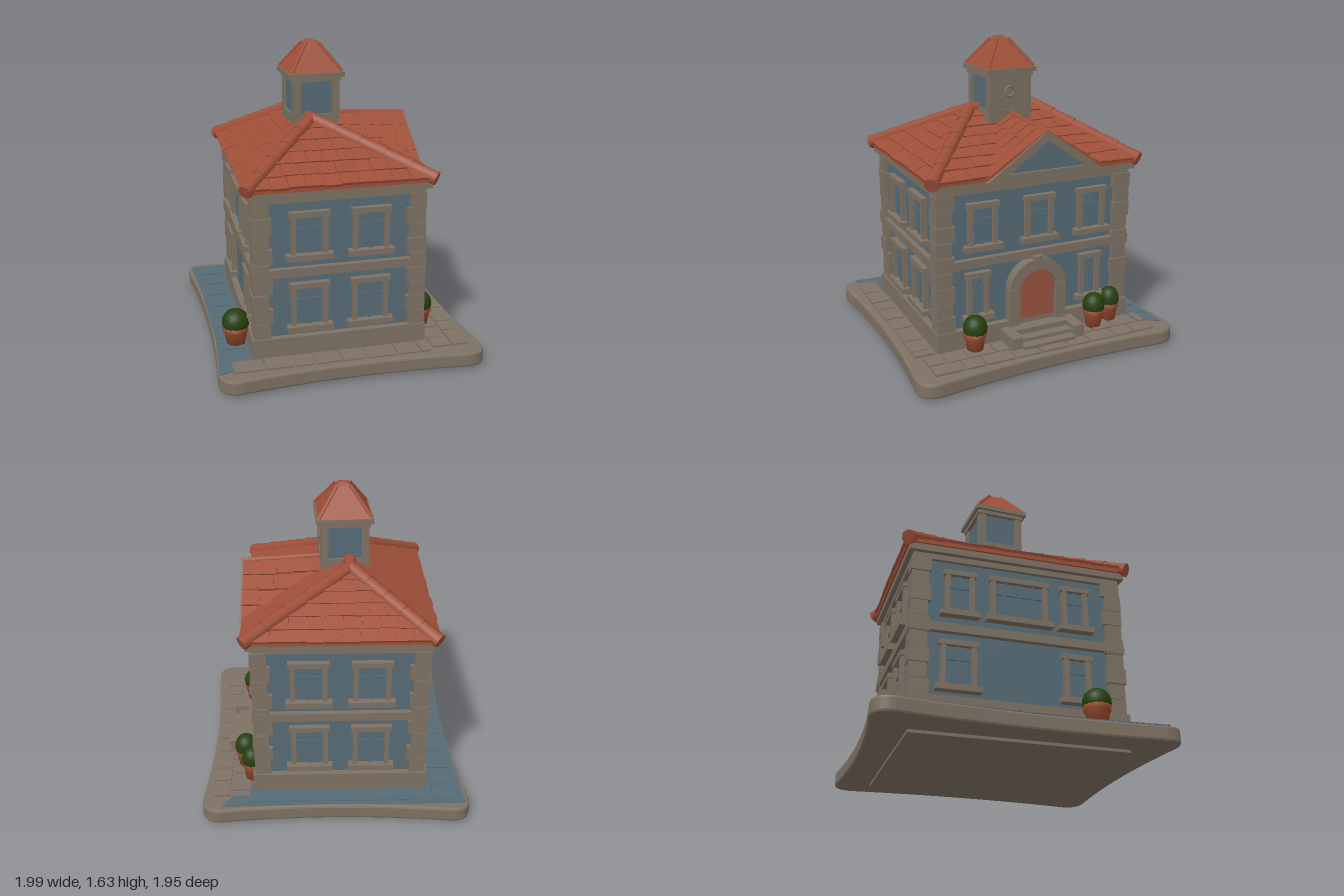
import * as THREE from 'three';
import { mergeGeometries } from 'three/addons/utils/BufferGeometryUtils.js';

const material = (name, color) => Object.assign(new THREE.MeshStandardMaterial({ color }), { name });
const V = (x, y, z) => new THREE.Vector3(x, y, z);

export function createModel() {
  const stone = material('stone', 0x7d7163), blue = material('blue plaster', 0x566b76);
  const tile = material('roof tile', 0x9e4f38), doorRed = material('door red', 0x9a5340);
  const leaf = material('leaf green', 0x263f0e), clay = material('clay', 0x96492f);
  let seed = 7;
  const rnd = () => (seed = (seed * 16807) % 2147483647) / 2147483647;

  const model = new THREE.Group();
  const house = new THREE.Group();
  house.name = 'house';
  house.position.set(-0.03, 0, 0);
  house.rotation.y = 2.292;
  model.add(house);

  const add = (parent, name, geo, mat, x = 0, y = 0, z = 0) => {
    const m = new THREE.Mesh(geo, mat);
    m.name = name;
    m.position.set(x, y, z);
    parent.add(m);
    return m;
  };
  // Box given by its size and the height of its underside
  const box = (parent, name, mat, w, h, d, x, y0, z) =>
    add(parent, name, new THREE.BoxGeometry(w, h, d), mat, x, y0 + h / 2, z);
  const flatExtrude = (shape, depth, bevel = 0) => new THREE.ExtrudeGeometry(shape, {
    depth, bevelEnabled: bevel > 0, bevelSize: bevel, bevelThickness: bevel, bevelOffset: -bevel, bevelSegments: 2, curveSegments: 10,
  }).rotateX(-Math.PI / 2);

  // Ground slab: rounded corners, sides bowed inwards
  const corners = [[-0.76, 0.65], [-0.755, -0.745], [0.725, -0.725], [0.745, 0.68]].map(p => new THREE.Vector2(...p));
  const slab = new THREE.Shape();
  corners.forEach((c, i) => {
    const prev = corners[(i + 3) % 4], next = corners[(i + 1) % 4];
    const toward = (p, q) => q.clone().sub(p).setLength(0.1).add(p);
    const s = toward(c, prev), e = toward(c, next), f = toward(next, c);
    if (i === 0) slab.moveTo(s.x, s.y);
    slab.quadraticCurveTo(c.x, c.y, e.x, e.y);
    const mid = e.clone().add(f).multiplyScalar(0.5);
    mid.addScaledVector(mid.clone().normalize(), -0.07);
    slab.quadraticCurveTo(mid.x, mid.y, f.x, f.y);
  });
  add(house, 'groundSlab', flatExtrude(slab, 0.056, 0.012), stone, 0, 0.027, 0);
  box(house, 'slabFoot', stone, 1.1, 0.03, 1.0, 0, 0, 0.03);

  // Painted paving on two sides
  const bluePave = new THREE.Shape([[-0.68, 0.645], [-0.3, 0.62], [0.3, 0.63], [0.69, 0.655], [0.69, 0.3], [0.68, 0],
    [0.69, -0.62], [0.5, -0.5], [0.5, 0.4], [-0.6, 0.4]].map(p => new THREE.Vector2(...p)));
  add(house, 'bluePaving', flatExtrude(bluePave, 0.005), blue, 0, 0.094, 0);

  // Paving stones in rows round the house
  const pave = (mat, alongX, from, to, inner, outer) => {
    for (let p = from; p < to - 0.04;) {
      const w = Math.min(0.1 + rnd() * 0.07, to - p), d = outer - inner, m = (inner + outer) / 2;
      const h = 0.008 + rnd() * 0.004;
      if (alongX) box(house, 'pavingStone', mat, w - 0.012, h, d - 0.012, p + w / 2, 0.094, m);
      else box(house, 'pavingStone', mat, d - 0.012, h, w - 0.012, m, 0.094, p + w / 2);
      p += w;
    }
  };
  pave(stone, true, -0.66, 0.62, 0.47, 0.58);
  pave(stone, true, -0.66, 0.64, 0.58, 0.68);
  pave(stone, false, -0.58, 0.46, -0.69, -0.57);
  pave(blue, true, -0.58, 0.68, -0.61, -0.48);
  pave(blue, false, -0.46, 0.52, 0.57, 0.67);

  // Walls, plinth, bands and cornice
  box(house, 'plinth', stone, 1.13, 0.105, 0.92, 0, 0.094, 0);
  box(house, 'walls', blue, 1.06, 0.8, 0.85, 0, 0.17, 0);
  box(house, 'middleBand', stone, 1.12, 0.045, 0.91, 0, 0.53, 0);
  box(house, 'corniceLower', stone, 1.1, 0.04, 0.89, 0, 0.92, 0);
  box(house, 'corniceUpper', stone, 1.15, 0.05, 0.94, 0, 0.95, 0);

  // Corner stones
  for (const sx of [-1, 1]) for (const sz of [-1, 1])
    for (let i = 0; i < 9; i++) {
      const w = i % 2 ? 0.085 : 0.1, o = rnd() * 0.008;
      box(house, 'cornerStone', stone, w, 0.079, 0.185 - w, sx * (0.552 + o - w / 2), 0.199 + i * 0.081, sz * (0.447 + o - (0.185 - w) / 2));
    }

  // Windows: each wall has its own frame of reference, z pointing outwards
  const wall = (name, turn, dist) => {
    const g = new THREE.Group(), pivot = new THREE.Group();
    pivot.name = name;
    pivot.rotation.y = turn;
    g.position.z = dist;
    pivot.add(g);
    house.add(pivot);
    return g;
  };
  const windowAt = (g, x, y, w, h, bars = 1) => {
    const win = new THREE.Group();
    win.name = 'window';
    win.position.set(x, y, 0);
    g.add(win);
    for (const s of [-1, 1]) box(win, 'windowJamb', stone, 0.025, h, 0.036, s * (w / 2 - 0.0125), 0, 0.01);
    box(win, 'windowHead', stone, w + 0.02, 0.028, 0.044, 0, h - 0.028, 0.01);
    box(win, 'windowSill', stone, w + 0.05, 0.03, 0.06, 0, -0.012, 0.015);
    box(win, 'windowPane', blue, w - 0.04, h - 0.04, 0.008, 0, 0.015, 0.002);
    for (let i = 1; i <= bars; i++) box(win, 'windowBar', blue, 0.014, h - 0.04, 0.022, (i / (bars + 1) - 0.5) * w, 0.015, 0.005);
    box(win, 'windowCrossbar', blue, w - 0.04, 0.012, 0.02, 0, h * 0.6, 0.004);
  };
  const doorWall = wall('doorWall', 0, 0.425), plainWall = wall('longWall', Math.PI, 0.425);
  for (const x of [-0.3, 0.02, 0.33]) windowAt(doorWall, x, 0.63, 0.16, 0.24);
  for (const x of [-0.33, 0.33]) windowAt(doorWall, x, 0.25, 0.12, 0.25);
  windowAt(plainWall, -0.31, 0.63, 0.15, 0.24);
  windowAt(plainWall, 0, 0.63, 0.3, 0.24, 3);
  windowAt(plainWall, 0.3, 0.63, 0.14, 0.24);
  windowAt(plainWall, -0.31, 0.24, 0.18, 0.25);
  windowAt(plainWall, 0.3, 0.24, 0.14, 0.25);
  for (const s of [-1, 1]) {
    const g = wall('endWall', s * Math.PI / 2, 0.53);
    for (const x of [-0.16, 0.16]) {
      windowAt(g, x, 0.63, 0.19, 0.24);
      windowAt(g, x, 0.24, 0.19, 0.25);
    }
  }

  // Arched door, its surround and the steps
  const arch = (r, h) => new THREE.Shape().moveTo(-r, 0).lineTo(r, 0).lineTo(r, h).absarc(0, h, r, 0, Math.PI, false).lineTo(-r, 0);
  const surround = arch(0.165, 0.2);
  surround.holes.push(arch(0.105, 0.2));
  const ext = (s, depth) => new THREE.ExtrudeGeometry(s, { depth, bevelEnabled: false, curveSegments: 14 });
  add(doorWall, 'doorSurround', ext(surround, 0.065), stone, 0, 0.165, -0.01);
  add(doorWall, 'door', ext(arch(0.108, 0.2), 0.045), doorRed, 0, 0.165, -0.01);
  box(doorWall, 'keystone', stone, 0.05, 0.07, 0.08, 0, 0.475, 0.02);
  for (const s of [-1, 1]) box(doorWall, 'doorColumn', stone, 0.05, 0.04, 0.08, s * 0.137, 0.34, 0.02);
  [[0.16, 0.1], [0.13, 0.15], [0.11, 0.2]].forEach(([y, d]) =>
    box(doorWall, 'step', stone, 0.3, y - 0.094 + 0.012, d, 0, 0.094, d / 2 - 0.0));
  for (const s of [-1, 1]) box(doorWall, 'stepCheek', stone, 0.06, 0.075, 0.17, s * 0.18, 0.094, 0.095);

  // Roof slope: a flat surface covered by overlapping tiles
  const slope = (name, a, b, c, d, rows) => {
    const face = new THREE.BufferGeometry().setFromPoints([a, b, c, a, c, d]);
    face.computeVertexNormals();
    add(house, name, face, tile);
    const X = b.clone().sub(a).normalize(), Y = d.clone().sub(a);
    Y.addScaledVector(X, -Y.dot(X));
    const h = Y.length() / rows;
    Y.normalize();
    const N = X.clone().cross(Y), parts = [];
    for (let r = 0; r < rows; r++) {
      const t = (r + 0.5) / rows, L = a.clone().lerp(d, t), R = b.clone().lerp(c, t);
      const n = Math.max(1, Math.round(L.distanceTo(R) / 0.085)), w = L.distanceTo(R) / n;
      for (let i = 0; i < n; i++) {
        const p = L.clone().lerp(R, (i + 0.5) / n).addScaledVector(N, 0.003 + rnd() * 0.004);
        const g = new THREE.BoxGeometry(w * 0.97, h * (1.1 + rnd() * 0.15), 0.014).rotateX(-0.07);
        parts.push(g.applyMatrix4(new THREE.Matrix4().makeBasis(X, Y, N).setPosition(p)));
      }
    }
    add(house, name + 'Tiles', mergeGeometries(parts), tile);
  };
  // Row of tapered ridge caps between two points
  const caps = (name, p, q, r, n) => {
    const dir = q.clone().sub(p), len = dir.length() / n;
    const turn = new THREE.Quaternion().setFromUnitVectors(V(0, 1, 0), dir.normalize());
    for (let i = 0; i < n; i++) {
      const at = p.clone().addScaledVector(dir, (i + 0.5) * len);
      add(house, name, new THREE.CylinderGeometry(r * 0.88, r, len * 1.08, 8), tile, at.x, at.y, at.z).quaternion.copy(turn);
    }
  };

  // Main hipped roof
  const ex = 0.585, ez = 0.48, ey = 1.005;
  const [rA, rB] = [V(-0.15, 1.24, -0.06), V(0.22, 1.24, -0.06)];
  const [e0, e1, e2, e3] = [V(-ex, ey, ez), V(ex, ey, ez), V(ex, ey, -ez), V(-ex, ey, -ez)];
  box(house, 'eaves', tile, 2 * ex, 0.025, 2 * ez, 0, 0.985, 0);
  slope('doorSlope', e0, e1, rB, rA, 7);
  slope('endSlope', e1, e2, rB, rB, 6);
  slope('longSlope', e2, e3, rA, rB, 6);
  slope('endSlope', e3, e0, rA, rA, 6);
  for (const [e, r] of [[e0, rA], [e3, rA], [e1, rB], [e2, rB]]) caps('hipCap', e, r, 0.038, 5);
  caps('ridgeCap', rA, rB, 0.036, 4);

  // Gable over the door
  const cx = 0.03, gw = 0.32;
  const top = V(cx, 1.2, 0.5), back = V(cx, 1.235, -0.05);
  slope('gableSlope', V(cx - gw, 1.0, 0.1), V(cx - gw, 1.0, 0.5), top, back, 4);
  slope('gableSlope', V(cx + gw, 1.0, 0.5), V(cx + gw, 1.0, 0.1), back, top, 4);
  caps('gableRidge', top, back, 0.018, 4);
  const tri = (w, y0, y1) => [[-w, y0], [w, y0], [0, y1]].map(p => new THREE.Vector2(...p));
  add(house, 'gablePanel', ext(new THREE.Shape(tri(0.3, 0.99, 1.185)), 0.02), blue, cx, 0, 0.475);
  const rim = new THREE.Shape(tri(gw + 0.01, 0.985, 1.215));
  rim.holes.push(new THREE.Path(tri(0.215, 1.015, 1.165)));
  add(house, 'gableFrame', ext(rim, 0.035), stone, cx, 0, 0.475);

  // Cupola
  const cupola = new THREE.Group();
  cupola.name = 'cupola';
  cupola.position.set(0.012, 0, -0.028);
  cupola.rotation.y = 0.05;
  house.add(cupola);
  box(cupola, 'cupolaBody', blue, 0.225, 0.3, 0.225, 0, 1.14, 0);
  box(cupola, 'cupolaFoot', stone, 0.25, 0.07, 0.25, 0, 1.18, 0);
  box(cupola, 'cupolaDoorPanel', stone, 0.2, 0.22, 0.008, 0, 1.22, 0.114);
  add(cupola, 'roundel', new THREE.TorusGeometry(0.026, 0.008, 6, 14), stone, 0, 1.345, 0.119);
  for (const sx of [-1, 1]) for (const sz of [-1, 1]) box(cupola, 'cupolaPost', stone, 0.04, 0.22, 0.04, sx * 0.106, 1.22, sz * 0.106);
  box(cupola, 'cupolaCornice', stone, 0.265, 0.025, 0.265, 0, 1.425, 0);
  box(cupola, 'cupolaEaves', stone, 0.295, 0.025, 0.295, 0, 1.447, 0);
  const pyramid = (r0, r1, h) => new THREE.CylinderGeometry(r1, r0, h, 4, 1).rotateY(Math.PI / 4).toNonIndexed();
  const cap = pyramid(0.2, 0.05, 0.145);
  cap.computeVertexNormals();
  add(cupola, 'cupolaRoof', cap, tile, 0, 1.5425, 0);
  const tip = pyramid(0.055, 0.025, 0.018);
  tip.computeVertexNormals();
  add(cupola, 'cupolaTip', tip, tile, 0, 1.62, 0);
  for (let i = 0; i < 4; i++) {
    const hip = new THREE.TubeGeometry(new THREE.LineCurve3(V(0.192, 1.475, 0), V(0.048, 1.615, 0)), 1, 0.01, 6);
    add(cupola, 'cupolaHip', hip, tile).rotation.y = Math.PI / 4 + i * Math.PI / 2;
  }

  // Clipped bushes in clay pots
  const pot = [[0, 0], [0.046, 0], [0.06, 0.08], [0.067, 0.082], [0.067, 0.108], [0.052, 0.108], [0, 0.1]].map(p => new THREE.Vector2(...p));
  for (const [x, z, s] of [[-0.18, 0.615, 1.03], [0.03, -0.645, 0.78], [0.14, -0.58, 0.85], [0.59, -0.05, 0.9]]) {
    const g = new THREE.Group();
    g.name = 'pottedBush';
    g.position.set(x, 0.094, z);
    g.scale.set(s, 1, s);
    model.add(g);
    add(g, 'pot', new THREE.LatheGeometry(pot, 14), clay);
    add(g, 'bush', new THREE.IcosahedronGeometry(0.07, 3), leaf, 0, 0.128, 0);
  }
  return model;
}
